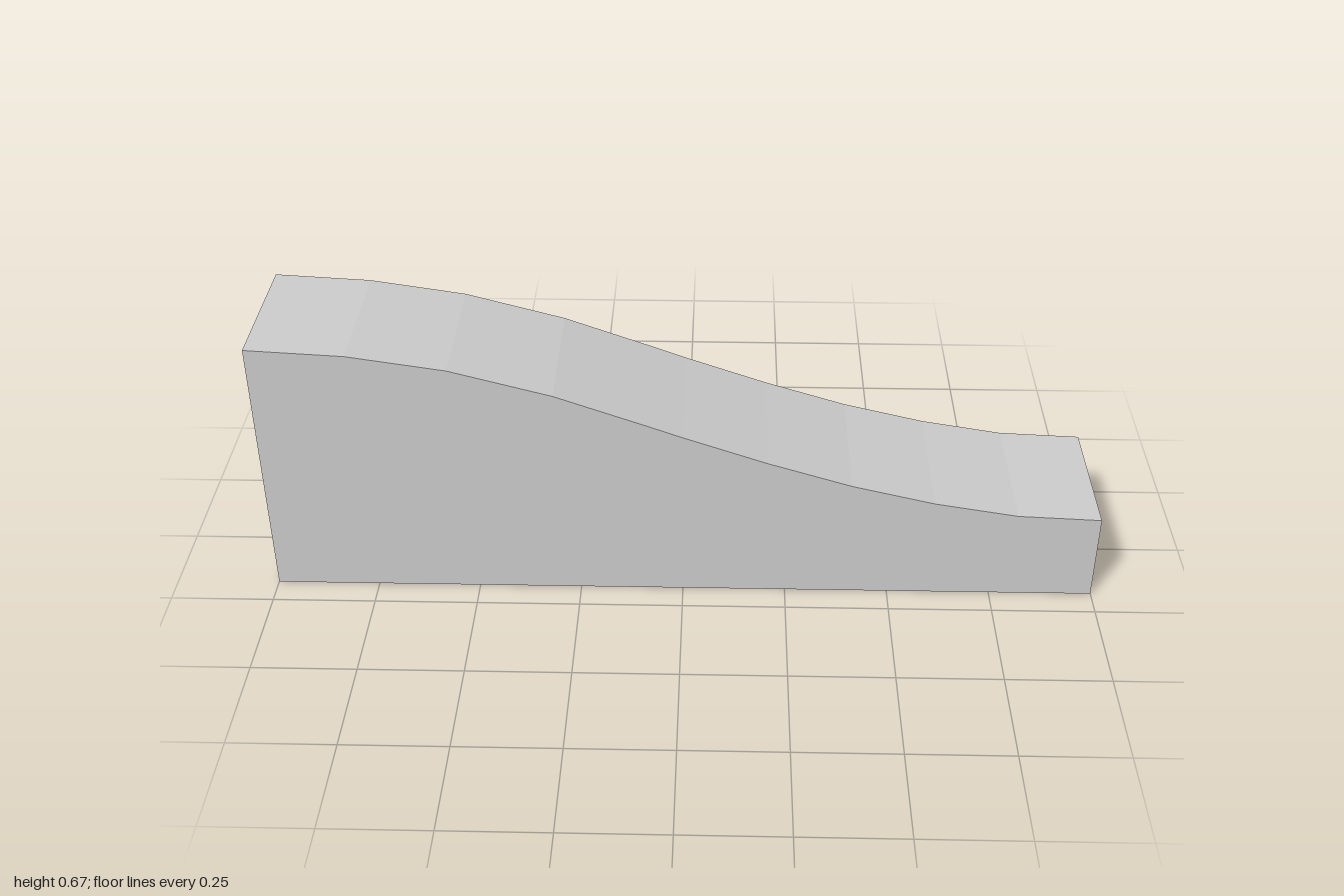
import * as THREE from 'three';

// Sloping top line: [x, y]
const crest = [
  [-1, 0.668], [-0.77, 0.655], [-0.54, 0.62], [-0.3, 0.555], [-0.08, 0.475], [0, 0.445],
  [0.2, 0.375], [0.4, 0.313], [0.6, 0.265], [0.8, 0.232], [1, 0.223],
];

function crestY(x) {
  for (let i = 1; i < crest.length; i++) {
    const [x0, y0] = crest[i - 1], [x1, y1] = crest[i];
    if (x <= x1) return y0 + (y1 - y0) * (x - x0) / (x1 - x0);
  }
  return crest[crest.length - 1][1];
}

// Crest points between two x positions, lowered by drop
function crestLine(x0, x1, drop) {
  const xs = [x0, ...crest.map(p => p[0]).filter(x => x > x0 + 1e-4 && x < x1 - 1e-4), x1];
  return xs.map(x => new THREE.Vector2(x, crestY(x) - drop));
}

// Slab that follows the crest; its lower edge is the ground unless bottomDrop is given
function slab(x0, x1, topDrop, bottomDrop, zBack, zFront) {
  const lower = bottomDrop === null
    ? [new THREE.Vector2(x0, 0), new THREE.Vector2(x1, 0)]
    : crestLine(x0, x1, bottomDrop);
  const shape = new THREE.Shape([...lower, ...crestLine(x0, x1, topDrop).reverse()]);
  const geometry = new THREE.ExtrudeGeometry(shape, { depth: zFront - zBack, bevelEnabled: false });
  return geometry.translate(0, 0, zBack);
}

export function createModel() {
  const group = new THREE.Group();
  const grey = new THREE.MeshStandardMaterial({ color: 0xcccccc });
  grey.name = 'plain grey';

  const add = (name, geometry) => {
    const mesh = new THREE.Mesh(geometry, grey);
    mesh.name = name;
    group.add(mesh);
  };

  // Solid wall and the coping that overhangs its back
  add('wallCore', slab(-1, 1, 0, null, -0.155, 0.18));
  add('coping', slab(-1, 1, 0, 0.045, -0.178, -0.155));

  // Back facing in five panels, parted by narrow upright seams
  const seam = 0.006;
  for (let i = 0; i < 5; i++) {
    const x = -1 + i * 0.4;
    add('backPanel', slab(x + seam, x + 0.4 - seam, 0.06, null, -0.16, -0.155));
  }

  // Row of raised tiles below the coping, stepping along the slope
  for (let i = 0; i < 10; i++) {
    const x = -0.95 + i * 0.2;
    add('backTile', slab(x - 0.05, x + 0.05, 0.065, 0.177, -0.162, -0.155));
  }

  return group;
}
